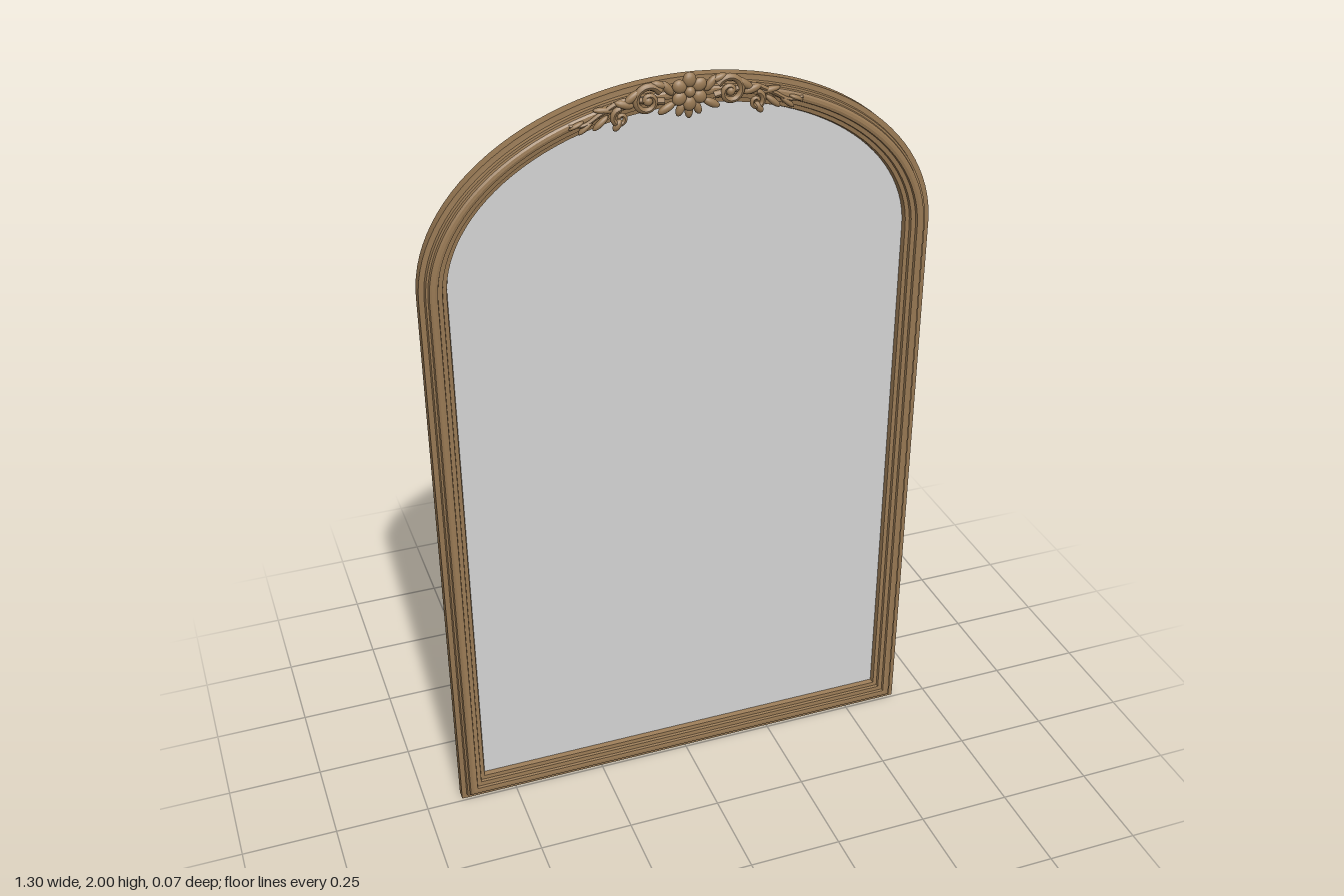
import * as THREE from 'three';
import { toCreasedNormals } from 'three/addons/utils/BufferGeometryUtils.js';

const HALF_W = 0.652, SPRING = 1.52, RISE = 0.46, ARCH_STEPS = 56;

// Arched outline inset by d, counter-clockwise seen from the front
function outline(d) {
  const pts = [new THREE.Vector2(-HALF_W + d, d), new THREE.Vector2(HALF_W - d, d)];
  for (let i = 0; i <= ARCH_STEPS; i++) {
    const a = Math.PI * i / ARCH_STEPS;
    pts.push(new THREE.Vector2((HALF_W - d) * Math.cos(a), SPRING + (RISE - d) * Math.sin(a)));
  }
  return pts;
}

// Height of the arch at x for a given inset
const archY = (x, d) => SPRING + (RISE - d) * Math.sqrt(1 - (x / (HALF_W - d)) ** 2);

// Moulding: profile of [inset, z] swept round the outline with mitred corners
function mouldingGeometry(profile) {
  const rings = profile.map(([d, z]) => outline(d).map(p => [p.x, p.y, z]));
  const n = rings[0].length, m = rings.length, pos = [];
  for (let j = 0; j < m; j++) {
    const r = rings[j], s = rings[(j + 1) % m];
    for (let i = 0; i < n; i++) {
      const k = (i + 1) % n;
      pos.push(...r[i], ...r[k], ...s[k], ...r[i], ...s[k], ...s[i]);
    }
  }
  const g = new THREE.BufferGeometry();
  g.setAttribute('position', new THREE.Float32BufferAttribute(pos, 3));
  return toCreasedNormals(g, 0.4);
}

// Round strand along points [x, y, z], thinning from r0 to r1
function strandGeometry(points, r0, r1) {
  const curve = new THREE.CatmullRomCurve3(points.map(p => new THREE.Vector3(...p)));
  const segs = 40, sides = 8;
  const g = new THREE.TubeGeometry(curve, segs, 1, sides);
  const p = g.attributes.position, c = new THREE.Vector3(), v = new THREE.Vector3();
  for (let i = 0; i <= segs; i++) {
    curve.getPointAt(i / segs, c);
    const r = THREE.MathUtils.lerp(r0, r1, i / segs);
    for (let j = 0; j <= sides; j++) {
      const k = i * (sides + 1) + j;
      v.fromBufferAttribute(p, k).sub(c).multiplyScalar(r).add(c);
      p.setXYZ(k, v.x, v.y, v.z);
    }
  }
  g.computeVertexNormals();
  return g;
}

export function createModel() {
  const model = new THREE.Group();
  model.name = 'archedMirror';
  const gold = new THREE.MeshStandardMaterial({ color: 0x977853 });
  gold.name = 'antiqueGold';
  const silver = new THREE.MeshStandardMaterial({ color: 0xd3d3d3 });
  silver.name = 'mirrorSilver';
  const grey = new THREE.MeshStandardMaterial({ color: 0x6c6c6c });
  grey.name = 'backingGrey';

  const add = (parent, name, geometry, material = gold) => {
    const mesh = new THREE.Mesh(geometry, material);
    mesh.name = name;
    parent.add(mesh);
    return mesh;
  };

  // Stepped frame: flat outer ledge, broad crown, groove and inner bevel
  add(model, 'frame', mouldingGeometry([
    [0, -0.036], [0, -0.008], [0.013, -0.007], [0.015, 0.002], [0.02, 0.003],
    [0.022, 0.010], [0.027, 0.0135], [0.034, 0.0145], [0.041, 0.0125],
    [0.043, 0.006], [0.054, 0.004], [0.056, -0.003], [0.066, -0.005],
    [0.07, -0.018], [0.07, -0.036],
  ]));

  // Mirror glass and its backing
  const paneShape = new THREE.Shape(outline(0.069));
  add(model, 'mirrorGlass', new THREE.ShapeGeometry(paneShape), silver).position.z = -0.017;
  const backing = add(model, 'backingPanel', new THREE.ShapeGeometry(paneShape), grey);
  backing.rotation.y = Math.PI;
  backing.position.z = -0.025;

  // Carved crest
  const crest = new THREE.Group();
  crest.name = 'crest';
  model.add(crest);
  const ball = new THREE.SphereGeometry(1, 14, 10);
  const lobe = (parent, name, x, y, z, sx, sy, sz, angle = 0) => {
    const mesh = add(parent, name, ball);
    mesh.position.set(x, y, z);
    mesh.scale.set(sx, sy, sz);
    mesh.rotation.z = angle;
  };

  // Central rosette with broad petals
  for (let i = 0; i < 6; i++) {
    const a = Math.PI / 2 + i * Math.PI / 3;
    lobe(crest, 'rosettePetal', 0.028 * Math.cos(a), 1.954 + 0.028 * Math.sin(a), 0.022,
      0.018, 0.016, 0.010, a);
  }
  lobe(crest, 'rosetteCentre', 0, 1.954, 0.025, 0.013, 0.013, 0.010);
  for (let i = -1; i <= 1; i++) {
    lobe(crest, 'rosetteDropLeaf', 0.02 * i, 1.908 + 0.006 * Math.abs(i), 0.017,
      0.010, 0.019, 0.009, 0.4 * i);
  }

  // Scrolls and leaves on either side
  for (const s of [1, -1]) {
    const side = new THREE.Group();
    side.name = s > 0 ? 'leftScrollwork' : 'rightScrollwork';
    crest.add(side);

    const spiral = (cx, cy, radius, turns, start, dir) => {
      const pts = [];
      for (let i = 0; i <= 18; i++) {
        const t = i / 18, r = radius * (1 - 0.8 * t), a = start + dir * turns * 2 * Math.PI * t;
        pts.push([s * (cx + r * Math.cos(a)), cy + r * Math.sin(a), 0.019 + 0.004 * t]);
      }
      return pts;
    };
    add(side, 'mainScroll', strandGeometry(spiral(0.1, 1.943, 0.036, 1.4, 2.6, -1), 0.010, 0.006));
    lobe(side, 'scrollEye', s * 0.1, 1.943, 0.023, 0.011, 0.011, 0.009);
    add(side, 'lowerScroll', strandGeometry(spiral(0.165, 1.911, 0.021, 1.2, 1.6, -1), 0.008, 0.005));

    // Stem tapering along the arch
    const stem = [0.06, 0.11, 0.16, 0.21, 0.25, 0.285].map((x, i) =>
      [s * x, archY(x, 0.03) - 0.012 * Math.cos(i * 1.6), 0.017 - 0.0006 * i]);
    add(side, 'leafStem', strandGeometry(stem, 0.009, 0.004));

    // Leaves: [x, inset, length, width, angle]
    const leaves = [
      [0.052, 0.012, 0.022, 0.010, 0.9], [0.054, 0.058, 0.024, 0.010, -0.5],
      [0.072, 0.0, 0.02, 0.009, 0.3], [0.135, 0.014, 0.026, 0.010, -0.6],
      [0.155, 0.026, 0.024, 0.010, 0.3], [0.172, 0.068, 0.016, 0.009, -1.0],
      [0.2, 0.026, 0.028, 0.008, 0.1], [0.21, 0.052, 0.024, 0.008, -0.7],
      [0.245, 0.048, 0.024, 0.007, -0.7], [0.268, 0.034, 0.02, 0.006, -0.4],
    ];
    for (const [x, d, len, wid, a] of leaves) {
      lobe(side, 'leaf', s * x, archY(x, d), x < 0.18 ? 0.019 : 0.013, len, wid, 0.009, s * a);
    }
  }
  return model;
}
